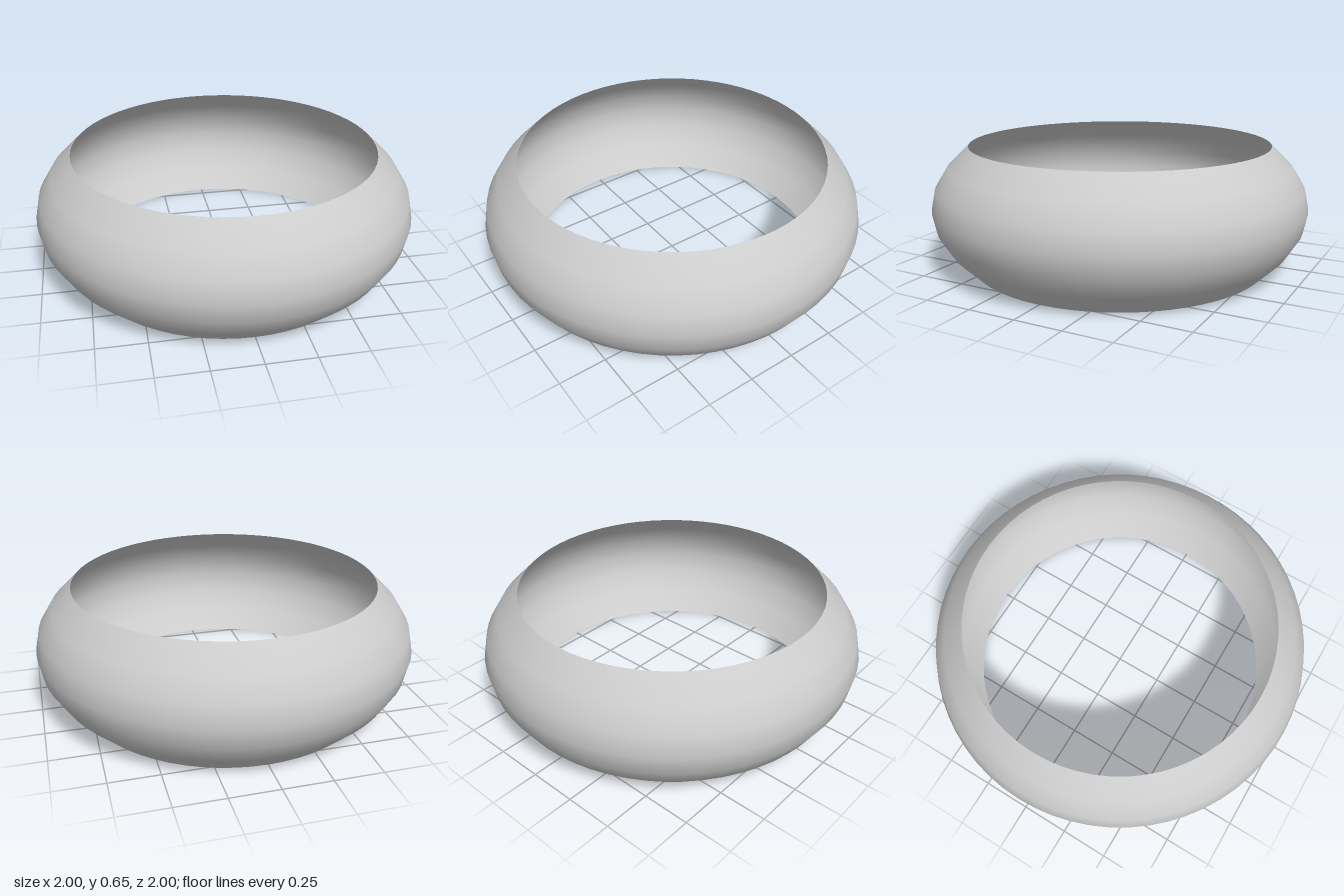
import * as THREE from 'three';

const HEIGHT = 0.65;
const RIM_RADIUS = 0.8;
const BULGE = 0.2;
const ROWS = 6;
const SIDES = 64;

export function createModel() {
  const group = new THREE.Group();
  group.name = 'ring';

  // Parabolic barrel profile, from the bottom rim to the top rim
  const profile = [];
  for (let i = 0; i <= ROWS; i++) {
    const t = (2 * i) / ROWS - 1;
    profile.push(new THREE.Vector2(RIM_RADIUS + BULGE * (1 - t * t), (HEIGHT * i) / ROWS));
  }

  // Thin open band, visible from inside and outside
  const band = new THREE.Mesh(
    new THREE.LatheGeometry(profile, SIDES),
    new THREE.MeshStandardMaterial({ color: 0xcccccc, side: THREE.DoubleSide })
  );
  band.name = 'bulgingBand';
  group.add(band);

  return group;
}
